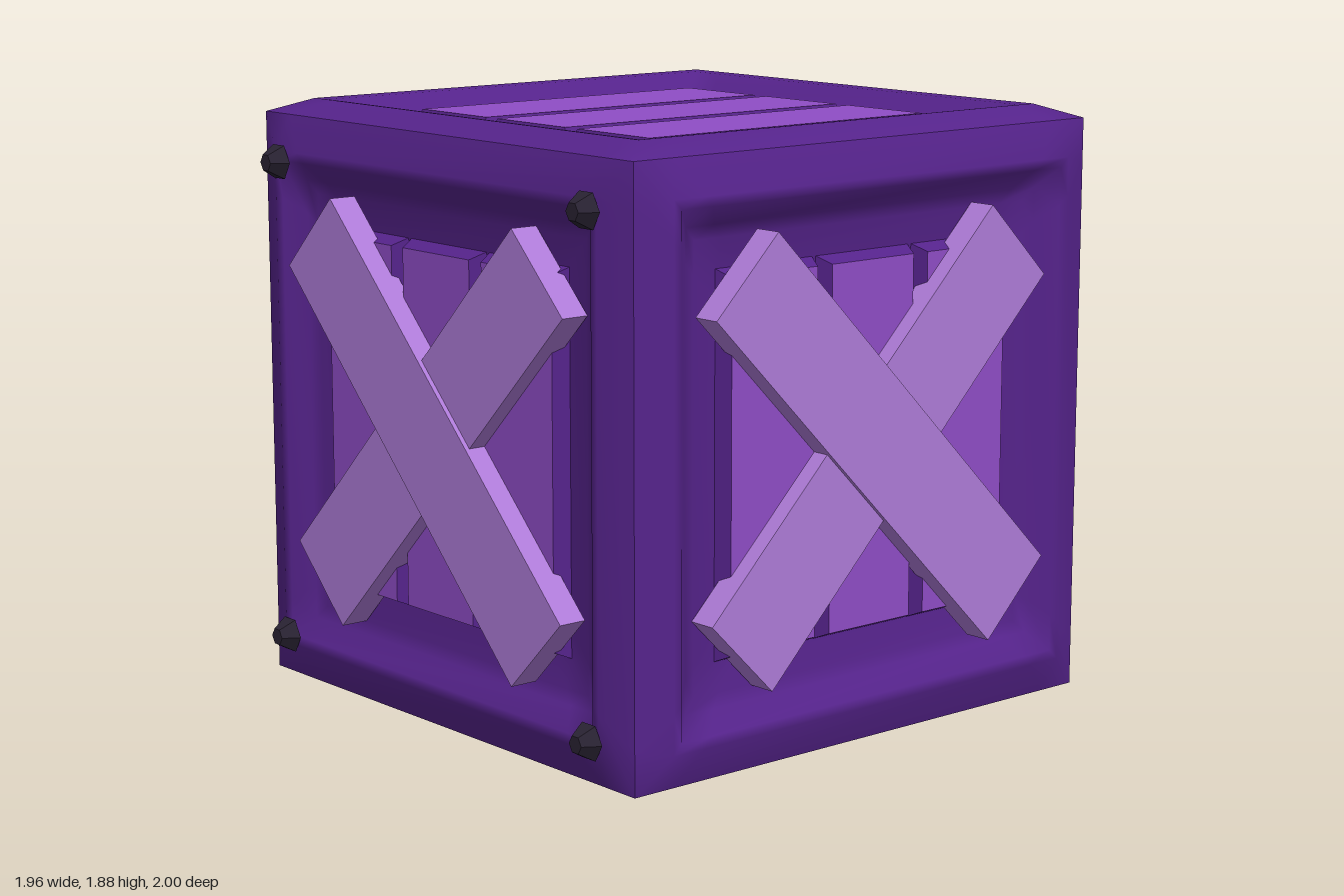
import * as THREE from 'three';

const material = (name, color) => {
  const m = new THREE.MeshStandardMaterial({ color });
  m.name = name;
  return m;
};

// Square rings [half size, height], each with extra points near its corners
function ringGeometry(rings) {
  const pos = [], index = [], n = 12;
  for (const [r, z] of rings) {
    for (let side = 0; side < 4; side++) {
      const a = side * Math.PI / 2, c = Math.cos(a), s = Math.sin(a);
      for (const t of [-1, -0.85, 0.85]) {
        pos.push(r * (c - t * s), r * (s + t * c), z);
      }
    }
  }
  for (let k = 0; k < rings.length - 1; k++) {
    for (let i = 0; i < n; i++) {
      const a = k * n + i, b = k * n + (i + 1) % n;
      index.push(a, b, b + n, a, b + n, a + n);
    }
  }
  const g = new THREE.BufferGeometry();
  g.setAttribute('position', new THREE.Float32BufferAttribute(pos, 3));
  g.setIndex(index);
  g.computeVertexNormals();
  return g;
}

// Box whose outer face is drawn in to make bevelled sides
function plankGeometry(w, l, h, bevel) {
  const g = new THREE.BoxGeometry(w, l, h);
  const p = g.attributes.position;
  for (let i = 0; i < p.count; i++) {
    if (p.getZ(i) > 0) {
      p.setX(i, p.getX(i) - Math.sign(p.getX(i)) * bevel);
      p.setY(i, p.getY(i) - Math.sign(p.getY(i)) * bevel);
    }
  }
  g.computeVertexNormals();
  return g;
}

export function createModel() {
  const frameMat = material('dark purple frame', 0x55238b);
  const plankMat = material('purple plank', 0x8f4dc6);
  const boardMat = material('light purple board', 0xae7bd8);
  const boltMat = material('black bolt', 0x292232);

  const model = new THREE.Group();
  model.name = 'crate';
  const H = 0.945;

  const frameGeo = ringGeometry([
    [0.9, 0.9], [0.79, 0.942], [0.76, 0.938], [0.7, 0.885], [0.66, 0.872], [0.56, 0.86],
  ]);
  const floorGeo = new THREE.PlaneGeometry(1.12, 1.12);
  const plankGeo = plankGeometry(0.38, 1.15, 0.06, 0.026);
  const boardGeo = new THREE.BoxGeometry(1.565, 0.325, 0.09);
  const boltGeo = new THREE.CylinderGeometry(0.028, 0.06, 0.05, 6).toNonIndexed();
  boltGeo.rotateY(Math.PI / 6);
  boltGeo.rotateX(Math.PI / 2);
  boltGeo.computeVertexNormals();

  const add = (parent, name, geo, mat, x = 0, y = 0, z = 0, turn = 0) => {
    const m = new THREE.Mesh(geo, mat);
    m.name = name;
    m.position.set(x, y, z);
    m.rotation.z = turn;
    parent.add(m);
  };

  // Each side is built facing +z, then turned into place
  const sides = [
    { name: 'front', ry: 0, cross: true, bolts: true },
    { name: 'left', ry: Math.PI / 2, cross: true },
    { name: 'back', ry: Math.PI, cross: true, bolts: true },
    { name: 'right', ry: -Math.PI / 2, cross: true },
    { name: 'top', rx: -Math.PI / 2 },
    { name: 'bottom', rx: Math.PI / 2, plain: true },
  ];
  for (const s of sides) {
    const g = new THREE.Group();
    g.name = s.name + 'Side';
    g.position.y = H;
    g.rotation.set(s.rx || 0, s.ry || 0, 0);
    model.add(g);

    add(g, 'frame', frameGeo, frameMat);
    add(g, 'panel', floorGeo, s.plain ? plankMat : frameMat, 0, 0, 0.86);

    // Three inset planks with dark bevelled edges
    if (!s.plain) {
      const mats = [frameMat, frameMat, frameMat, frameMat, plankMat, frameMat];
      for (const x of [-0.386, 0, 0.386]) add(g, 'plank', plankGeo, mats, x, 0, 0.88);
    }
    // Crossed boards, one lying slightly lower
    if (s.cross) {
      add(g, 'upperBoard', boardGeo, boardMat, 0, 0.007, 0.935, -Math.PI / 4);
      add(g, 'lowerBoard', boardGeo, boardMat, 0, 0.007, 0.92, Math.PI / 4);
    }
    // Corner bolts
    if (s.bolts) {
      for (const x of [-0.757, 0.757]) {
        for (const y of [-0.757, 0.757]) add(g, 'bolt', boltGeo, boltMat, x, y, 0.975);
      }
    }
  }
  return model;
}
